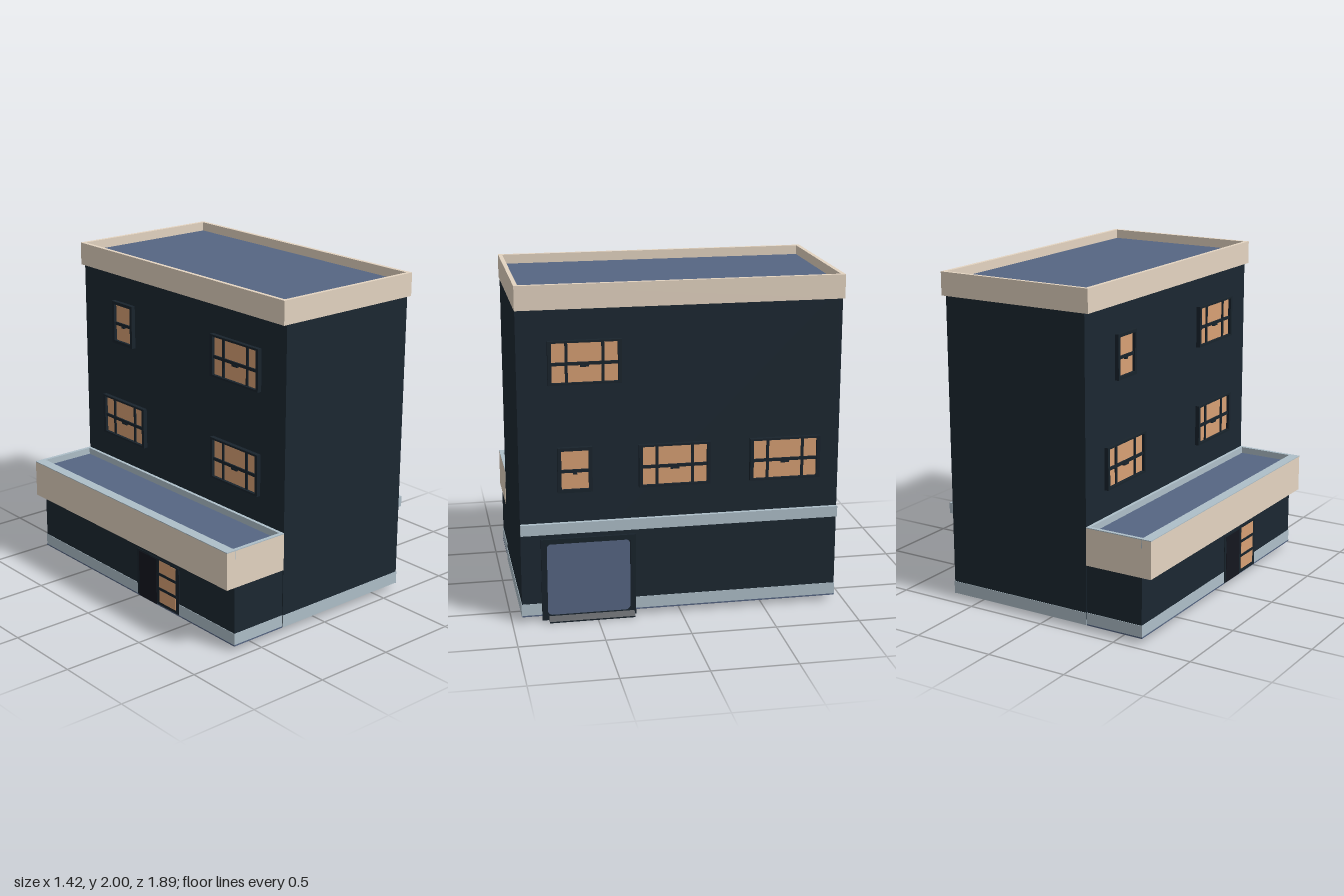
import * as THREE from 'three';

const mat = (name, color, side = THREE.FrontSide) => {
  const m = new THREE.MeshStandardMaterial({ color, side });
  m.name = name;
  return m;
};

export function createModel() {
  const wall = mat('dark wall', 0x1b2731);
  const frame = mat('dark frame', 0x18232c);
  const cream = mat('cream parapet', 0xe4d4c1);
  const trim = mat('pale blue trim', 0xaebfc9);
  const slate = mat('slate', 0x566683, THREE.DoubleSide);
  const glass = mat('lit glass', 0xd8a074);
  const brown = mat('tan floor', 0xc8966e);
  const black = mat('black door', 0x14161f);

  const root = new THREE.Group();
  root.name = 'building';

  const add = (parent, name, geometry, material) => {
    const m = new THREE.Mesh(geometry, material);
    m.name = name;
    parent.add(m);
    return m;
  };
  // Box given by its limits on each axis
  const box = (parent, name, material, x0, x1, y0, y1, z0, z1) => {
    const g = new THREE.BoxGeometry(x1 - x0, y1 - y0, z1 - z0);
    g.translate((x0 + x1) / 2, (y0 + y1) / 2, (z0 + z1) / 2);
    return add(parent, name, g, material);
  };
  // Box on one end of the building, between two distances from the centre
  const endBox = (s, name, material, x0, x1, y0, y1, near, far) =>
    box(root, name, material, x0, x1, y0, y1,
      s > 0 ? near : -far, s > 0 ? far : -near);
  const rect = (C, w, h) => new C([
    [-w / 2, -h / 2], [w / 2, -h / 2], [w / 2, h / 2], [-w / 2, h / 2],
  ].map(([x, y]) => new THREE.Vector2(x, y)));
  // Rectangular frame standing in the xy plane
  const frameGeometry = (w, h, iw, ih, depth) => {
    const s = rect(THREE.Shape, w, h);
    s.holes.push(rect(THREE.Path, iw, ih));
    return new THREE.ExtrudeGeometry(s, { depth, bevelEnabled: false });
  };

  const L = -0.285, R = 0.663, A = -0.65, P = -0.713, T = 0.02, Y0 = 0.035;
  const Z = 0.941, ZA = 0.935; // tower and annex half lengths

  // Hollow walls of tower and annex, with base bands on a slate footing
  box(root, 'towerRightWall', wall, R - T, R, Y0, 1.94, -Z, Z);
  box(root, 'towerLeftWall', wall, L, L + T, 0.5, 1.94, -Z, Z);
  box(root, 'annexSideWall', wall, A, A + T, Y0, 0.42, -ZA, ZA);
  box(root, 'rightBaseBand', trim, R - 0.002, R + 0.003, 0.04, 0.11, -Z, Z);
  box(root, 'leftBaseBand', trim, A - 0.003, A + 0.002, 0.04, 0.11, -ZA, ZA);
  box(root, 'rightFooting', slate, R - 0.002, R + 0.004, 0.032, 0.04, -Z, Z);
  box(root, 'leftFooting', slate, A - 0.004, A + 0.002, 0.032, 0.04, -ZA, ZA);
  for (const s of [-1, 1]) {
    endBox(s, 'towerEndWall', wall, L, R, Y0, 1.94, Z - T, Z);
    endBox(s, 'annexEndWall', wall, A, L, Y0, 0.42, ZA - T, ZA);
    endBox(s, 'towerEndBand', trim, L, R + 0.003, Y0, 0.11, Z - 0.002, Z + 0.003);
    endBox(s, 'annexEndBand', trim, A - 0.003, L, 0.04, 0.11, ZA - 0.002, ZA + 0.003);
    endBox(s, 'annexEndFooting', slate, A - 0.004, L, 0.032, 0.04, ZA - 0.002, ZA + 0.004);
  }
  box(root, 'storeyBand', trim, R, 0.687, 0.54, 0.605, -Z, Z);

  // Tower parapet and roof
  const parapet = add(root, 'towerParapet',
    frameGeometry(1.003, 1.89, 0.955, 1.842, 0.14), cream);
  parapet.rotation.x = -Math.PI / 2;
  parapet.position.set(0.1905, 1.86, 0);
  box(root, 'towerRoof', slate, -0.29, 0.67, 1.93, 1.945, -0.925, 0.925);

  // Annex parapet with pale coping and lining, and its roof
  box(root, 'annexParapet', cream, P, A - 0.005, 0.4, 0.625, -0.943, 0.943);
  box(root, 'annexCoping', trim, P, A, 0.625, 0.63, -0.943, 0.943);
  box(root, 'annexLining', trim, A - 0.005, A, 0.575, 0.625, -0.943, 0.943);
  box(root, 'annexSoffit', cream, A - 0.005, A + T, 0.4, 0.575, -0.936, 0.936);
  for (const s of [-1, 1]) {
    endBox(s, 'annexEndParapet', cream, A - 0.005, L, 0.4, 0.625, 0.927, 0.943);
    endBox(s, 'annexEndLining', trim, A, L, 0.575, 0.625, 0.921, 0.927);
    endBox(s, 'annexEndCoping', trim, A, L, 0.625, 0.63, 0.921, 0.943);
  }
  box(root, 'annexFlashing', trim, -0.305, L, 0.56, 0.63, -0.921, 0.921);
  box(root, 'annexRoof', slate, A, L, 0.575, 0.59, -0.925, 0.925);

  // Floor seen from below, open in one corner
  const floor = (name, pts, material) => {
    const g = new THREE.ShapeGeometry(new THREE.Shape(
      pts.map(([x, z]) => new THREE.Vector2(x, z))));
    g.rotateX(Math.PI / 2);
    add(root, name, g, material).position.y = 0.031;
  };
  floor('mainFloor', [[A, -0.43], [R, -0.43], [R, Z], [A, Z]], brown);
  floor('annexFloorCorner', [[A, -0.43], [A, -ZA], [L, -ZA]], brown);
  floor('towerFloorCorner', [[R, -0.43], [L, -Z], [R, -Z]], wall);

  // Sash windows, built facing +z and turned to their wall
  const addWindow = (side, y, z, wide) => {
    const w = wide ? 0.42 : 0.2, h = wide ? 0.254 : 0.268;
    const g = new THREE.Group();
    g.name = wide ? 'wideWindow' : 'narrowWindow';
    add(g, 'windowFrame', frameGeometry(w, h, w - 0.042, 0.23, 0.026), frame);
    box(g, 'pane', glass, -w / 2 + 0.02, w / 2 - 0.02, -0.116, 0.116, 0, 0.008);
    box(g, 'crossBar', frame, -w / 2 + 0.02, w / 2 - 0.02, -0.016, 0.002, 0.006, 0.018);
    box(g, 'handle', frame, wide ? -0.025 : -0.012, wide ? 0.025 : 0.012,
      -0.026, -0.014, 0.006, 0.02);
    if (wide) for (const x of [-0.104, 0.104]) {
      box(g, 'mullion', frame, x - 0.008, x + 0.008, -0.116, 0.116, 0.006, 0.016);
    }
    g.position.set(side > 0 ? R : L, y, z);
    g.rotation.y = side * Math.PI / 2;
    root.add(g);
  };
  [
    [1, 1.552, 0.556, true], [1, 0.922, 0.62, false],
    [1, 0.922, 0.04, true], [1, 0.922, -0.615, true],
    [-1, 1.552, -0.53, false], [-1, 1.552, 0.525, true],
    [-1, 0.922, -0.535, true], [-1, 0.922, 0.525, true],
  ].forEach((a) => addWindow(...a));

  // Large entrance on the right wall
  const door = new THREE.Group();
  door.name = 'entrance';
  add(door, 'entranceFrame', frameGeometry(0.555, 0.5, 0.488, 0.44, 0.014), frame);
  box(door, 'entranceBacking', frame, -0.26, 0.26, -0.23, 0.23, 0, 0.006);
  const w = 0.245, h = 0.22, r = 0.03;
  const s = new THREE.Shape();
  s.absarc(w - r, h - r, r, 0, Math.PI / 2);
  s.absarc(-w + r, h - r, r, Math.PI / 2, Math.PI);
  s.absarc(-w + r, -h + r, r, Math.PI, Math.PI * 1.5);
  s.absarc(w - r, -h + r, r, Math.PI * 1.5, Math.PI * 2);
  add(door, 'entrancePanel', new THREE.ShapeGeometry(s, 6), slate).position.z = 0.009;
  door.position.set(R, 0.257, 0.547);
  door.rotation.y = Math.PI / 2;
  root.add(door);

  // Sloped doorstep
  const profile = new THREE.Shape([[0.62, 0.01], [0.69, 0.01], [0.71, 0],
    [0.71, 0.008], [0.68, 0.033], [0.62, 0.033]].map(([x, y]) => new THREE.Vector2(x, y)));
  add(root, 'doorstep', new THREE.ExtrudeGeometry(profile,
    { depth: 0.505, bevelEnabled: false }), frame).position.z = 0.28;

  // Annex doorway: a dark leaf beside a glazed leaf
  box(root, 'annexDoorSurround', frame, A - 0.004, A, Y0, 0.34, 0.04, 0.44);
  box(root, 'darkDoorLeaf', black, A - 0.006, A, Y0, 0.33, 0.06, 0.23);
  box(root, 'glazedDoorLeaf', glass, A - 0.006, A, 0.06, 0.33, 0.255, 0.41);
  for (const y of [0.14, 0.235]) {
    box(root, 'doorBar', frame, A - 0.008, A, y, y + 0.018, 0.25, 0.415);
  }
  return root;
}
